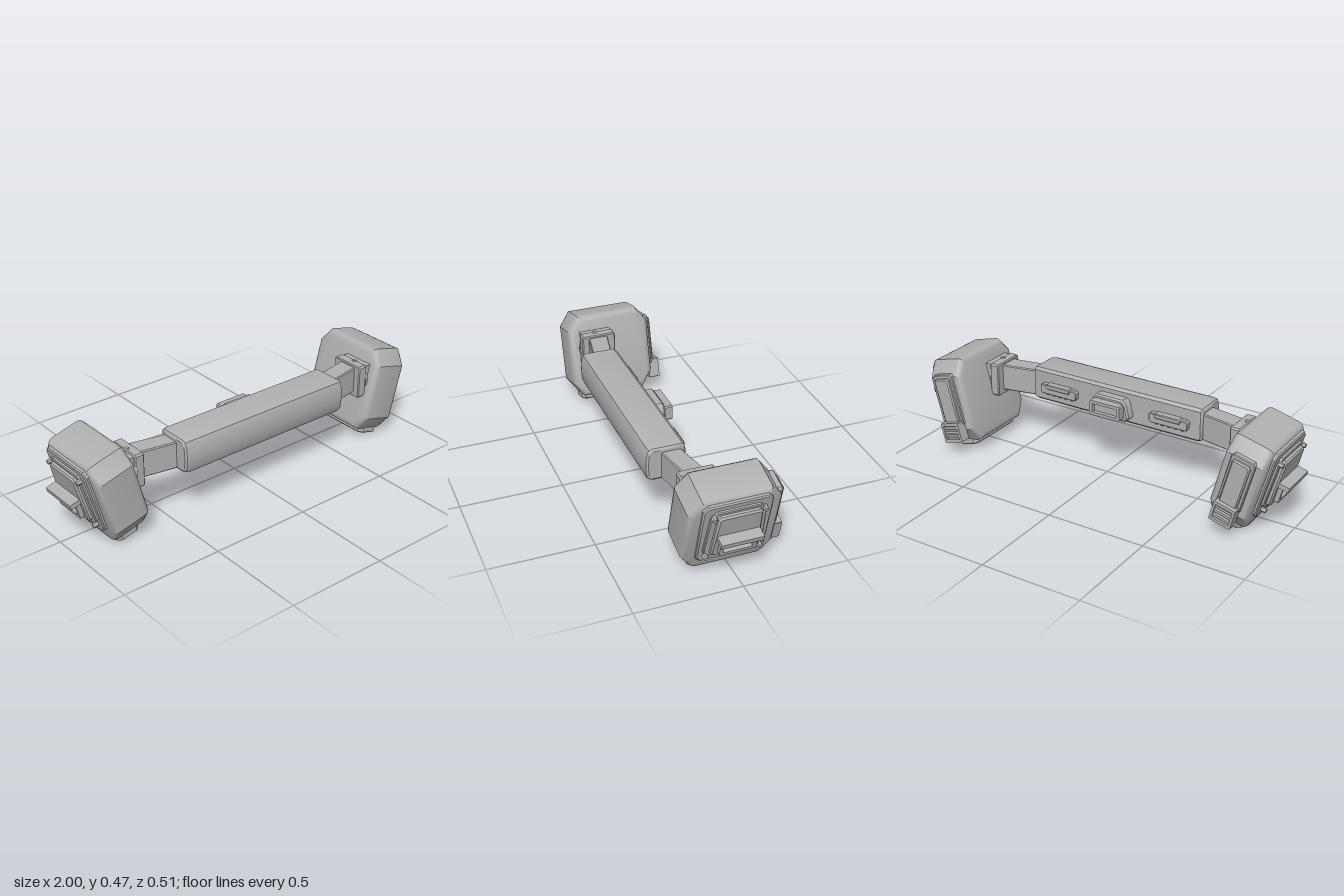
import * as THREE from 'three';
import { toCreasedNormals } from 'three/addons/utils/BufferGeometryUtils.js';

const grey = new THREE.MeshStandardMaterial({ color: 0xb0b0b0 });
grey.name = 'grey';

// Chamfered, bevelled slab: w by h outline, from z = 0 to z = d; top scales the upper edge
function slab(w, h, d, { cx = 0.01, cy = cx, b = 0.004, top = 1, seg = 1, hole } = {}) {
  const x = w / 2, y = h / 2, t = x * top;
  const s = new THREE.Shape([
    [-x + cx, -y], [x - cx, -y], [x, -y + cy], [t, y - cy],
    [t - cx, y], [-t + cx, y], [-t, y - cy], [-x, -y + cy],
  ].map((p) => new THREE.Vector2(...p)));
  if (hole) {
    const [a, c] = hole;
    s.holes.push(new THREE.Path([[-a, -c], [-a, c], [a, c], [a, -c]].map((p) => new THREE.Vector2(...p))));
  }
  const g = new THREE.ExtrudeGeometry(s, {
    depth: d - 2 * b, bevelEnabled: b > 0, bevelSize: b, bevelOffset: -b, bevelThickness: b, bevelSegments: seg,
  });
  g.translate(0, 0, b);
  return toCreasedNormals(g, 0.6);
}

// Turn a slab to face +x, starting at x = u
const outward = (g, u, v, z) => g.rotateY(Math.PI / 2).translate(u, v, z);
// Turn a slab to face -z, starting at z
const backward = (g, x, y, z) => g.rotateY(Math.PI).translate(x, y, z);
const box = (w, h, d, x, y, z) => new THREE.BoxGeometry(w, h, d).translate(x, y, z);

// Mirror a geometry across x = 0, keeping faces outward
function mirror(geo) {
  const g = geo.index ? geo.toNonIndexed() : geo.clone();
  g.scale(-1, 1, 1);
  for (const a of Object.values(g.attributes)) {
    const n = a.itemSize, arr = a.array;
    for (let i = 0; i < a.count; i += 3) {
      for (let k = 0; k < n; k++) {
        const p = (i + 1) * n + k, q = (i + 2) * n + k;
        [arr[p], arr[q]] = [arr[q], arr[p]];
      }
    }
  }
  return g;
}

function add(group, name, geo) {
  const m = new THREE.Mesh(geo, grey);
  m.name = name;
  group.add(m);
}

// Parts of one end pod, in its own upright frame with +x outward
function podParts() {
  const parts = [
    ['podBody', outward(slab(0.43, 0.43, 0.2, { cx: 0.055, cy: 0.075, b: 0.03, seg: 3 }), -0.1, 0, 0.01)],
    ['podFoot', slab(0.33, 0.12, 0.035, { cx: 0.02, b: 0.005 })
      .rotateX(Math.PI / 2).rotateY(Math.PI / 2).translate(0.01, -0.205, 0.01)],
    ['outerPlate', outward(slab(0.32, 0.345, 0.04, { cx: 0.022, b: 0.006 }), 0.075, 0.025, 0.01)],
    ['boltPlate', outward(slab(0.275, 0.275, 0.02, { cx: 0.03, top: 0.92 }), 0.108, 0.032, 0.01)],
    ['raisedPanel', outward(slab(0.225, 0.24, 0.028, { cx: 0.012, top: 0.9, b: 0.008 }), 0.12, 0.035, 0.008)],
    ['handleLedge', box(0.075, 0.024, 0.195, 0.163, 0.034, 0.008)],
    ['handleFrame', outward(slab(0.17, 0.085, 0.035, { cx: 0.004, b: 0, hole: [0.068, 0.026] }), 0.135, -0.02, 0.008)],
    // Rear panel with a slotted box at its lower end
    ['rearBase', backward(slab(0.12, 0.27, 0.03, { cx: 0.012 }), 0, 0.02, -0.19)],
    ['rearPanel', backward(slab(0.09, 0.24, 0.04, { cx: 0.008, b: 0.006 }), 0, 0.017, -0.195)],
    ['rearVent', backward(slab(0.11, 0.1, 0.055, { cx: 0.002, b: 0, hole: [0.043, 0.036] }), 0, -0.137, -0.203)],
    ['rearVentBack', box(0.1, 0.09, 0.03, 0, -0.137, -0.218)],
  ];
  for (const i of [-1, 0, 1]) parts.push(['rearSlat', box(0.09, 0.012, 0.04, 0, -0.137 + i * 0.024, -0.233)]);
  // Hexagonal bolts
  for (const [v, z] of [[0.145, 0.125], [0.145, -0.107], [-0.1, 0.135], [-0.1, -0.117]]) {
    parts.push(['bolt', toCreasedNormals(
      new THREE.CylinderGeometry(0.011, 0.013, 0.025, 6).rotateZ(-Math.PI / 2).translate(0.132, v, z), 0.5)]);
  }
  return parts;
}

// Parts joining the bar to a pod on the +x side
function linkParts() {
  // Arm drawn in plan, then raised to its height
  const plan = new THREE.Shape([[0.45, -0.18], [0.67, -0.14], [0.67, -0.04], [0.45, -0.085]]
    .map((p) => new THREE.Vector2(...p)));
  const arm = new THREE.ExtrudeGeometry(plan, {
    depth: 0.125, bevelEnabled: true, bevelSize: 0.005, bevelOffset: -0.005, bevelThickness: 0.005, bevelSegments: 1,
  }).rotateX(-Math.PI / 2).translate(0, 0.275, 0);
  return [
    ['arm', arm],
    ['bracket', outward(slab(0.175, 0.17, 0.05, { cx: 0.008, b: 0.005 }), 0.65, 0.332, 0.09)],
    ['bracketBlock', box(0.05, 0.14, 0.16, 0.715, 0.34, 0.09)],
    ['hingeDisc', new THREE.CylinderGeometry(0.055, 0.065, 0.035, 24).rotateZ(-Math.PI / 2).translate(0.71, 0.33, 0.12)],
    ['bracketPin', new THREE.CylinderGeometry(0.01, 0.014, 0.008, 12).translate(0.69, 0.418, 0.1)],
  ];
}

// Small clip plate on the back of the bar
function clipParts() {
  const parts = [
    ['clipPlate', backward(slab(0.21, 0.05, 0.035, { cx: 0.01 }), 0.31, 0.34, 0.07)],
    ['clipRidge', backward(slab(0.14, 0.024, 0.045, { cx: 0.006 }), 0.31, 0.358, 0.07)],
  ];
  for (let i = 0; i < 5; i++) parts.push(['clipTooth', box(0.014, 0.012, 0.018, 0.24 + i * 0.035, 0.312, 0.055)]);
  return parts;
}

export function createModel() {
  const model = new THREE.Group();
  model.name = 'barWithPods';

  // Central bar: rounded section run along x
  const section = new THREE.Shape([
    [-0.06, 0.275], [-0.06, 0.42], [-0.075, 0.432], [-0.215, 0.432], [-0.235, 0.425], [-0.246, 0.4],
    [-0.25, 0.345], [-0.247, 0.295], [-0.235, 0.27], [-0.21, 0.262], [-0.075, 0.262],
  ].reverse().map((p) => new THREE.Vector2(...p)));
  const bar = new THREE.ExtrudeGeometry(section, {
    depth: 0.9, bevelEnabled: true, bevelSize: 0.014, bevelOffset: -0.014, bevelThickness: 0.025, bevelSegments: 2,
  }).rotateY(Math.PI / 2).translate(-0.45, 0, 0);
  add(model, 'bar', toCreasedNormals(bar, 0.6));

  // Central housing on the back of the bar
  add(model, 'housingBase', backward(slab(0.22, 0.11, 0.055, { cx: 0.02, top: 0.85, b: 0.008 }), 0, 0.345, 0.065));
  add(model, 'housingFrame', backward(slab(0.17, 0.075, 0.05, { cx: 0.006, b: 0, hole: [0.068, 0.022] }), 0, 0.345, 0.02));
  add(model, 'housingInsert', box(0.14, 0.05, 0.02, 0, 0.345, 0));

  // Matching ends
  const pod = podParts();
  const fixed = [...linkParts(), ...clipParts()];
  for (const side of [1, -1]) {
    const pick = (g) => (side > 0 ? g : mirror(g));
    const label = side > 0 ? 'left' : 'right';
    const podGroup = new THREE.Group();
    podGroup.name = label + 'Pod';
    podGroup.position.set(0.793 * side, 0.254, 0);
    podGroup.rotation.z = -side * THREE.MathUtils.degToRad(15);
    for (const [name, g] of pod) add(podGroup, name, pick(g));
    const link = new THREE.Group();
    link.name = label + 'Link';
    for (const [name, g] of fixed) add(link, name, pick(g));
    model.add(podGroup, link);
  }
  return model;
}
